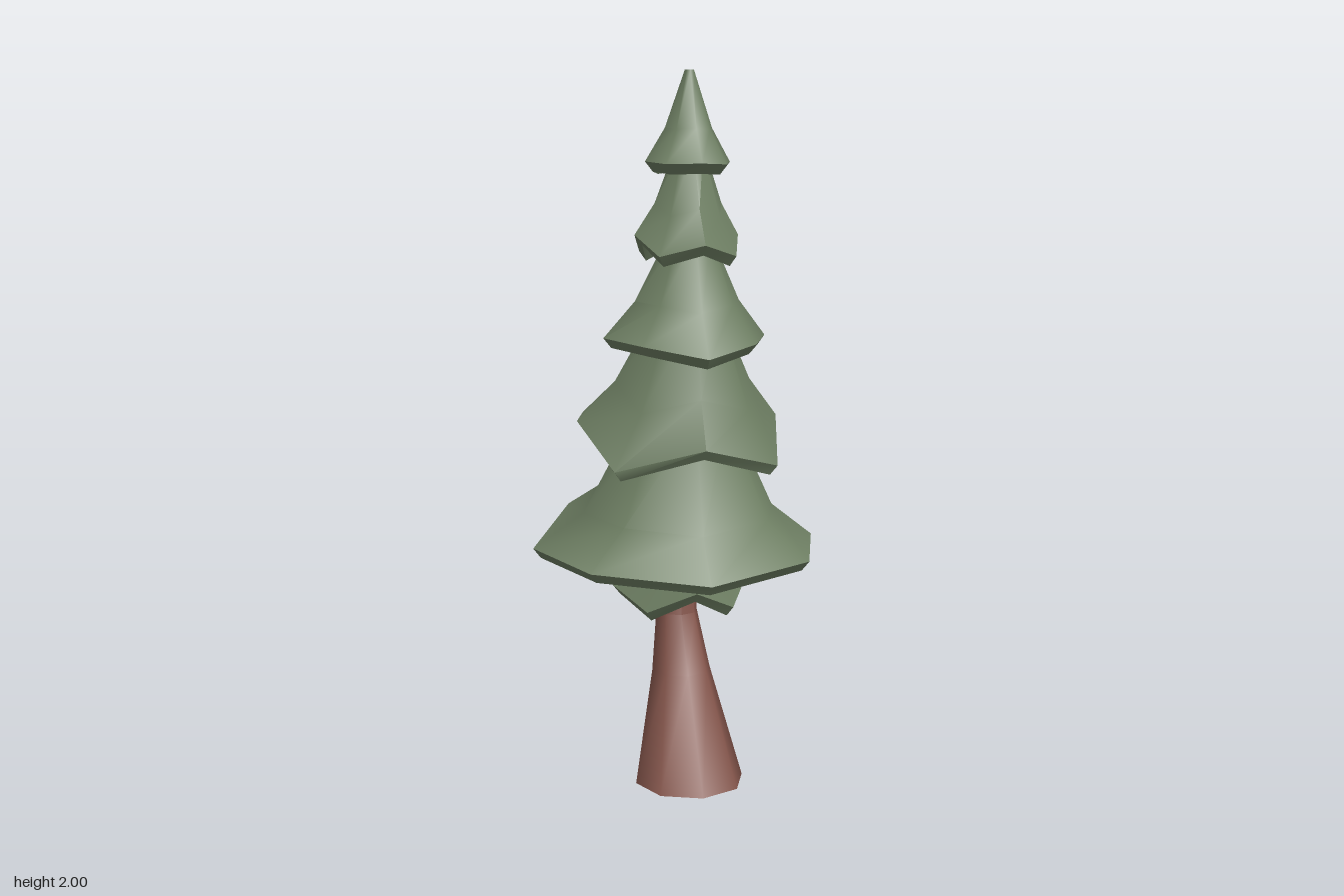
import * as THREE from 'three';
import { toCreasedNormals } from 'three/addons/utils/BufferGeometryUtils.js';

const V = (x, y, z) => new THREE.Vector3(x, y, z);
const SIDES = 8;
const THICK = 0.027;

// Skin over rows of points; each row runs back, left, front, right.
function loft(rows, walls = []) {
  const pos = [];
  const tri = (a, b, c) => {
    const area = b.clone().sub(a).cross(c.clone().sub(a)).length();
    if (area > 1e-7) for (const p of [a, b, c]) pos.push(p.x, p.y, p.z);
  };
  const quad = (a, b, c, d) => { tri(a, b, c); tri(a, c, d); };
  for (let r = 0; r < rows.length - 1; r++) {
    for (let i = 0; i < SIDES; i++) {
      quad(rows[r][i + 1], rows[r][i], rows[r + 1][i], rows[r + 1][i + 1]);
    }
  }
  for (const w of walls) quad(...w);
  const g = new THREE.BufferGeometry();
  g.setAttribute('position', new THREE.Float32BufferAttribute(pos, 3));
  return toCreasedNormals(g, 0.85);
}

// Horizontal eight-sided ring, first point repeated at the end.
function ring(y, cz, r) {
  return Array.from({ length: SIDES + 1 }, (_, i) => {
    const a = (i % SIDES) * Math.PI * 2 / SIDES;
    return V(r * Math.sin(a) - 0.004, y, cz - r * Math.cos(a));
  });
}

// Rim of a skirt: tips at back, sides and front, with drooping corners between.
// z and y are listed back, side, front; corner and droop are listed back, front.
function rimPoints({ x, z, y, corner, droop }) {
  return Array.from({ length: SIDES + 1 }, (_, i) => {
    const a = (i % SIDES) * Math.PI * 2 / SIDES;
    const sx = Math.sign(Math.round(Math.sin(a) * 10));
    const sz = Math.sign(Math.round(-Math.cos(a) * 10));
    const width = sx < 0 ? -x[0] : x[1];
    const depth = Math.abs(z[1 + sz] - z[1]);
    if (sx === 0 || sz === 0) return V(sx * width, y[1 + sz] + THICK / 2, z[1 + sz]);
    const end = sz < 0 ? 0 : 1;
    const k = corner[end];
    const height = (y[1] + y[1 + sz]) / 2 - droop[end];
    return V(sx * width * k, height + THICK / 2, z[1] + sz * depth * k);
  });
}

// Thick flared skirt of branches; top is [height, z, radius].
function skirt(s) {
  const [ty, tz, tr] = s.top;
  const flare = s.flare ?? 0.37;
  const outer = rimPoints(s);
  if (s.split) outer[SIDES].add(V(-0.06, -0.01, 0.015));
  const top = ring(ty, tz, tr);
  const mid = outer.map((p, i) => V(
    (p.x + top[i].x) / 2, p.y + (ty - p.y) * flare, (p.z + top[i].z) / 2));
  mid[SIDES].copy(mid[0]);
  const inset = (pts, d) => pts.map((p) => {
    const v = V(-p.x, 0, tz - p.z);
    const len = v.length();
    return p.clone().addScaledVector(v, Math.min(d / len, 0.8)).setY(p.y - THICK);
  });
  const rows = [
    ring(ty - THICK, tz, 0), inset(top, THICK * 0.6),
    inset(mid, THICK * 0.8), inset(outer, THICK * 0.8),
    outer, mid, top, ring(ty, tz, 0),
  ];
  // Cut faces on both sides of the split
  const cut = (i) => [3, 2, 5, 4].map((r) => rows[r][i]);
  return loft(rows, s.split ? [cut(0), cut(SIDES).reverse()] : []);
}

export function createModel() {
  const tree = new THREE.Group();
  tree.name = 'pineTree';
  const green = new THREE.MeshStandardMaterial({ color: 0x6f8064 });
  const bark = new THREE.MeshStandardMaterial({ color: 0x85564c });
  const add = (name, geometry, material) => {
    const mesh = new THREE.Mesh(geometry, material);
    mesh.name = name;
    tree.add(mesh);
  };

  // Bent trunk, wide at the foot
  add('trunk', loft([
    ring(0, 0.19, 0), ring(0, 0.19, 0.157), ring(0.3, 0.09, 0.086),
    ring(0.46, 0.035, 0.061), ring(0.78, 0.05, 0.045), ring(0.78, 0.05, 0),
  ]), bark);

  // Stacked skirts of branches, from the bottom up
  add('lowestBranches', skirt({
    x: [-0.2, 0.2], z: [-0.15, 0.06, 0.26], y: [0.55, 0.54, 0.55],
    corner: [0.63, 0.63], droop: [0.06, 0.06], top: [0.86, 0.06, 0.05],
  }), green);
  add('widestBranches', skirt({
    x: [-0.42, 0.42], z: [-0.42, 0, 0.42], y: [0.67, 0.645, 0.61],
    corner: [0.64, 0.74], droop: [-0.06, -0.01], top: [1.05, 0.11, 0.14],
    flare: 0.28, split: true,
  }), green);
  add('lowerMiddleBranches', skirt({
    x: [-0.305, 0.277], z: [-0.187, 0.09, 0.355], y: [1.09, 1.025, 0.97],
    corner: [0.81, 0.79], droop: [0.04, 0.085], top: [1.34, 0.16, 0.1],
  }), green);
  add('middleBranches', skirt({
    x: [-0.24, 0.223], z: [-0.08, 0.15, 0.385], y: [1.3, 1.262, 1.22],
    corner: [0.57, 0.68], droop: [0, -0.01], top: [1.55, 0.185, 0.065],
  }), green);
  add('upperBranches', skirt({
    x: [-0.16, 0.132], z: [0.05, 0.19, 0.342], y: [1.55, 1.545, 1.52],
    corner: [0.77, 0.73], droop: [0.05, 0.043], top: [1.79, 0.185, 0.042],
  }), green);
  add('crownBranches', skirt({
    x: [-0.13, 0.108], z: [0.078, 0.19, 0.308], y: [1.75, 1.742, 1.735],
    corner: [0.73, 0.7], droop: [0.01, 0.005], top: [2, 0.18, 0.013],
  }), green);
  return tree;
}
